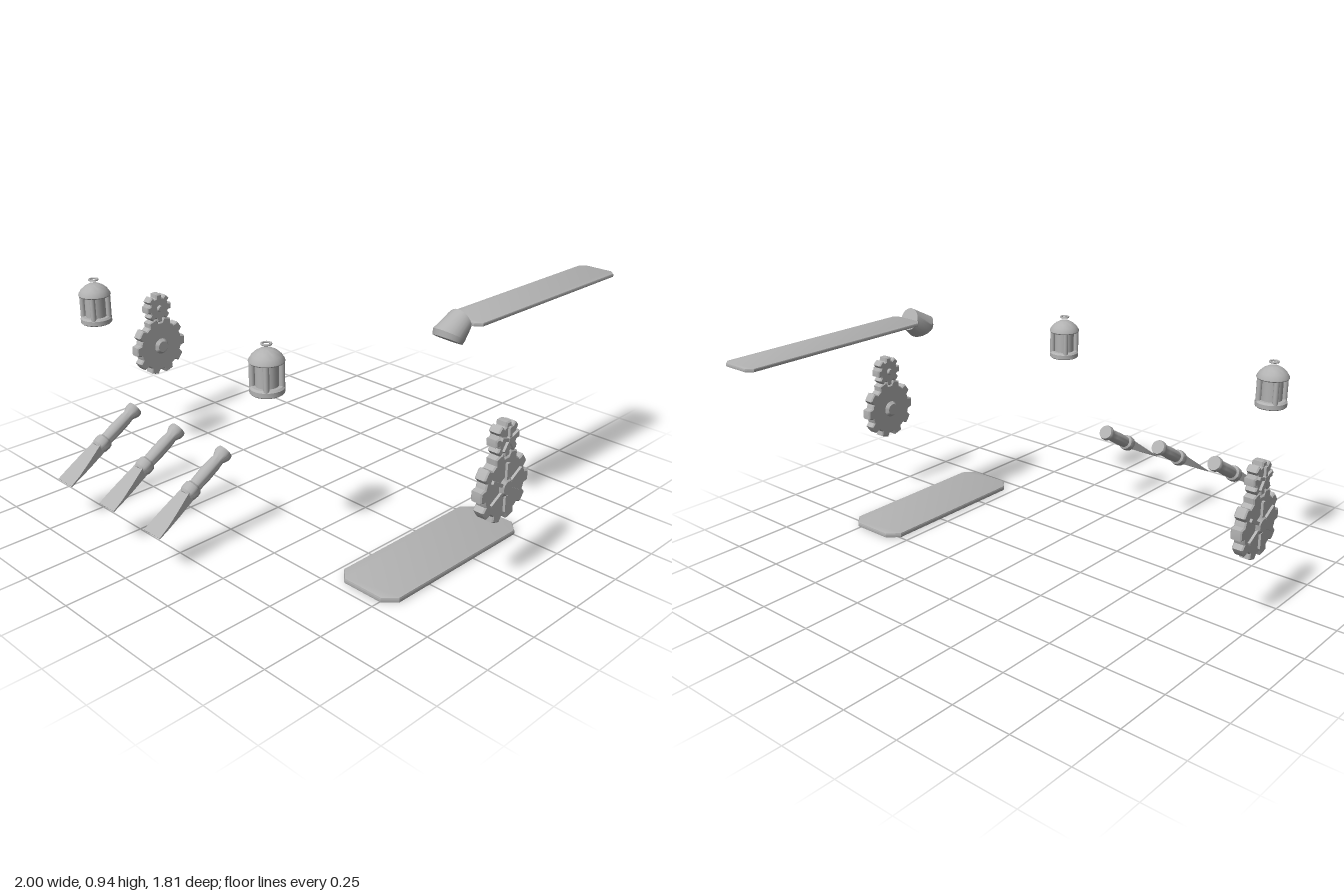
import * as THREE from 'three';
import { toCreasedNormals } from 'three/addons/utils/BufferGeometryUtils.js';

const grey = new THREE.MeshStandardMaterial({ color: 0xb2b2b2 });
grey.name = 'grey';

function add(parent, name, geometry, x = 0, y = 0, z = 0) {
  const mesh = new THREE.Mesh(geometry, grey);
  mesh.name = name;
  mesh.position.set(x, y, z);
  parent.add(mesh);
  return mesh;
}

function group(parent, name, x, y, z) {
  const g = new THREE.Group();
  g.name = name;
  g.position.set(x, y, z);
  parent.add(g);
  return g;
}

// Turned part from [radius, height] pairs, bottom to top
function turned(profile, sides = 24) {
  const points = profile.map(([r, y]) => new THREE.Vector2(r, y));
  return toCreasedNormals(new THREE.LatheGeometry(points, sides), 0.6);
}

// Solid skinned over rings of points that run counter-clockwise about the path
function loft(rings) {
  const n = rings[0].length, pos = [], index = [];
  rings.forEach(ring => ring.forEach(p => pos.push(p.x, p.y, p.z)));
  for (let r = 0; r < rings.length - 1; r++) {
    for (let i = 0; i < n; i++) {
      const a = r * n + i, b = r * n + (i + 1) % n;
      index.push(a, b, b + n, a, b + n, a + n);
    }
  }
  const last = (rings.length - 1) * n;
  for (let i = 1; i < n - 1; i++) {
    index.push(0, i + 1, i, last, last + i, last + i + 1);
  }
  const g = new THREE.BufferGeometry();
  g.setAttribute('position', new THREE.Float32BufferAttribute(pos, 3));
  g.setIndex(index);
  return toCreasedNormals(g, 0.6);
}

// Flat board with clipped corners and softened edges, lying in the xz plane
function board(width, length, thick, clip) {
  const b = thick * 0.35, w = width / 2 - b, l = length / 2 - b;
  const shape = new THREE.Shape([
    [w, -l + clip], [w, l - clip], [w - clip, l], [-w + clip, l],
    [-w, l - clip], [-w, -l + clip], [-w + clip, -l], [w - clip, -l],
  ].map(([x, y]) => new THREE.Vector2(x, y)));
  const g = new THREE.ExtrudeGeometry(shape, {
    depth: thick - 2 * b, bevelThickness: b, bevelSize: b, bevelSegments: 2,
  });
  g.translate(0, 0, b - thick / 2);
  g.rotateX(-Math.PI / 2);
  return toCreasedNormals(g, 0.4);
}

// Toothed wheel facing +z
function gear(root, tip, teeth, thick, start) {
  const points = [], step = Math.PI * 2 / teeth, b = 0.005;
  for (let i = 0; i < teeth; i++) {
    for (const [f, r] of [[-0.31, root], [-0.2, tip], [0, tip], [0.2, tip], [0.31, root], [0.5, root]]) {
      const a = start + (i + f) * step;
      points.push(new THREE.Vector2(Math.cos(a) * (r - b), Math.sin(a) * (r - b)));
    }
  }
  const g = new THREE.ExtrudeGeometry(new THREE.Shape(points), {
    depth: thick - 2 * b, bevelThickness: b, bevelSize: b, bevelSegments: 1,
  });
  g.translate(0, 0, b - thick / 2);
  return toCreasedNormals(g, 0.4);
}

function addLantern(parent, x) {
  const g = group(parent, 'lantern', x, 0.68, 0.55);
  add(g, 'lanternBase', turned([[0, 0], [0.059, 0], [0.063, 0.004], [0.063, 0.021], [0.056, 0.028], [0, 0.028]]));
  add(g, 'lanternGlass', new THREE.CylinderGeometry(0.042, 0.042, 0.1, 24), 0, 0.07, 0);
  for (let i = 0; i < 4; i++) {
    const a = Math.PI / 4 + i * Math.PI / 2;
    add(g, 'lanternPost', new THREE.CylinderGeometry(0.011, 0.011, 0.1, 10),
      Math.cos(a) * 0.052, 0.07, Math.sin(a) * 0.052);
  }
  add(g, 'lanternRoof', turned([[0, 0.115], [0.062, 0.115], [0.065, 0.119], [0.064, 0.124],
    [0.054, 0.14], [0.04, 0.153], [0.022, 0.163], [0, 0.165]]));
  add(g, 'lanternRing', new THREE.TorusGeometry(0.017, 0.004, 8, 24), 0, 0.181, 0).rotation.x = Math.PI / 2;
}

function addTool(parent, x) {
  const g = group(parent, 'tool', x, 0.374, 0.555);
  g.rotation.x = 2.11;
  add(g, 'toolHandle', turned([[0, 0], [0.03, 0], [0.033, 0.008], [0.033, 0.02], [0.023, 0.042], [0.026, 0.07],
    [0.027, 0.12], [0.025, 0.172], [0.033, 0.18], [0.035, 0.195], [0.033, 0.212], [0.025, 0.222], [0, 0.222]]));
  // Blade widens to the tip while thinning to an edge
  const sections = [[0.215, 0.024, 0.02], [0.25, 0.029, 0.016], [0.3, 0.037, 0.011], [0.36, 0.044, 0.005], [0.41, 0.046, 0.002]];
  add(g, 'toolBlade', loft(sections.map(([y, w, t]) =>
    [[w, t], [w, -t], [-w, -t], [-w, t]].map(([px, pz]) => new THREE.Vector3(px, y, pz)))));
}

// Hub and ribs on the outer (+z) face, plain hub on the inner face
function addWheel(parent, name, y, o) {
  const g = group(parent, name, 0, y, 0);
  add(g, 'gearDisc', gear(o.root, o.tip, o.teeth, o.thick, o.start));
  const hub = turned([[0, -o.depth], [o.hub * 0.7, -o.depth], [o.hub, -o.depth + 0.012],
    [o.hub, o.depth - 0.012], [o.hub * 0.7, o.depth], [0, o.depth]]);
  add(g, 'gearHub', hub).rotation.x = Math.PI / 2;
  for (let i = 0; i < o.ribs; i++) {
    const a = Math.PI / 2 + i * Math.PI * 2 / o.ribs, mid = (o.hub + o.ribEnd) / 2;
    const rib = add(g, 'gearRib', new THREE.BoxGeometry(o.ribEnd - o.hub + 0.01, o.ribWidth, 0.014),
      Math.cos(a) * mid, Math.sin(a) * mid, o.thick / 2 + 0.003);
    rib.rotation.z = a;
  }
}

function addGearPair(parent, side) {
  const g = group(parent, side > 0 ? 'leftGears' : 'rightGears', side * 0.963, 0, 0.095);
  g.rotation.y = side * Math.PI / 2;
  addWheel(g, 'largeGear', 0.405, { root: 0.113, tip: 0.133, teeth: 10, thick: 0.046, start: 0,
    hub: 0.036, depth: 0.037, ribs: 6, ribEnd: 0.088, ribWidth: 0.013 });
  addWheel(g, 'smallGear', 0.585, { root: 0.051, tip: 0.066, teeth: 8, thick: 0.046, start: Math.PI / 2,
    hub: 0.015, depth: 0.034, ribs: 5, ribEnd: 0.042, ribWidth: 0.012 });
}

// Circle tilted in the yz plane; (vy, vz) is its upward direction
function tiltedRing(y, z, rx, rv, vy, vz) {
  return Array.from({ length: 24 }, (_, i) => {
    const a = i * Math.PI / 12, s = Math.sin(a) * rv;
    return new THREE.Vector3(Math.cos(a) * rx, y + s * vy, z + s * vz);
  });
}

export function createModel() {
  const model = new THREE.Group();
  model.name = 'workshopParts';

  add(model, 'lowerBoard', board(0.27, 0.76, 0.024, 0.042), 0.67, 0.012, 0.085);
  add(model, 'upperBoard', board(0.162, 0.88, 0.016, 0.02), 0.668, 0.896, -0.465);

  // Elbow-shaped head at the front of the upper board
  add(model, 'elbowHead', loft([
    tiltedRing(0.901, -0.022, 0.047, 0.047, 0.929, 0.37),
    tiltedRing(0.862, 0.04, 0.06, 0.061, 0.53, 0.848),
    tiltedRing(0.845, 0.046, 0.056, 0.053, 0.478, 0.879),
  ]), 0.668, 0, 0);

  for (const x of [-0.75, 0.285]) addLantern(model, x);
  for (const x of [-0.51, -0.23, 0.05]) addTool(model, x);
  for (const side of [-1, 1]) addGearPair(model, side);
  return model;
}
